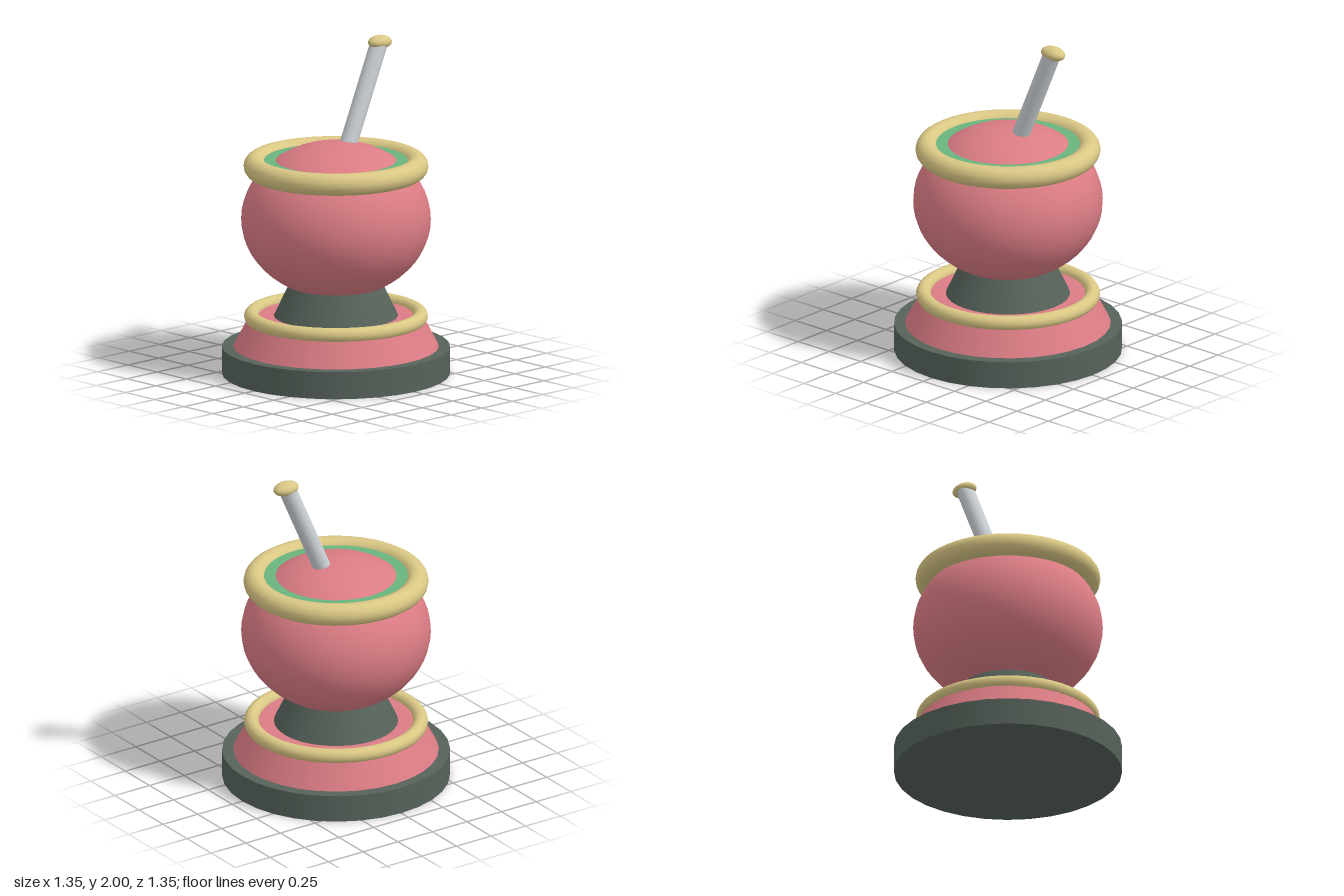
import * as THREE from 'three';

const mat = (name, color) => new THREE.MeshStandardMaterial({ name, color });

export function createModel() {
  const pink = mat('rose', 0xdb7c84);
  const gold = mat('gold', 0xd9c784);
  const dark = mat('charcoal', 0x56625a);
  const green = mat('green', 0x69b47e);
  const silver = mat('silver', 0xcdd2d6);
  const model = new THREE.Group();

  const add = (name, geometry, material, x = 0, y = 0) => {
    const mesh = new THREE.Mesh(geometry, material);
    mesh.name = name;
    mesh.position.set(x, y, 0);
    model.add(mesh);
    return mesh;
  };
  // Round part standing between two heights
  const drum = (name, material, rBottom, rTop, y0, y1, sides = 32) =>
    add(name, new THREE.CylinderGeometry(rTop, rBottom, y1 - y0, sides), material, 0, (y0 + y1) / 2);
  // Horizontal ring
  const ring = (name, radius, tube, y) =>
    add(name, new THREE.TorusGeometry(radius, tube, 16, 48).rotateX(Math.PI / 2), gold, 0, y);

  // Stepped foot
  drum('base', dark, 0.677, 0.677, 0, 0.165);
  drum('skirt', pink, 0.61, 0.512, 0.165, 0.352);
  ring('footRing', 0.502, 0.044, 0.348);
  drum('neck', dark, 0.372, 0.27, 0.345, 0.56);

  // Rounded cup with its rim and inner band
  add('bowl', new THREE.SphereGeometry(1, 40, 28).scale(0.563, 0.465, 0.563), pink, 0, 0.94);
  drum('innerBand', green, 0.45, 0.45, 1.24, 1.298, 40);
  ring('rim', 0.482, 0.067, 1.262);

  // Leaning straw, sunk into the top of the bowl
  const from = new THREE.Vector3(0.065, 1.296, 0);
  const to = new THREE.Vector3(0.35, 1.945, 0);
  const along = to.clone().sub(from);
  const straw = add('straw', new THREE.CylinderGeometry(0.053, 0.053, along.length(), 20), silver);
  straw.position.copy(from).add(to).multiplyScalar(0.5);
  straw.quaternion.setFromUnitVectors(new THREE.Vector3(0, 1, 0), along.normalize());

  // Flattened mouthpiece
  const tip = add('mouthpiece', new THREE.SphereGeometry(1, 24, 16).scale(0.083, 0.041, 0.057), gold, 0.361, 1.959);
  tip.rotation.z = -0.05;

  return model;
}
